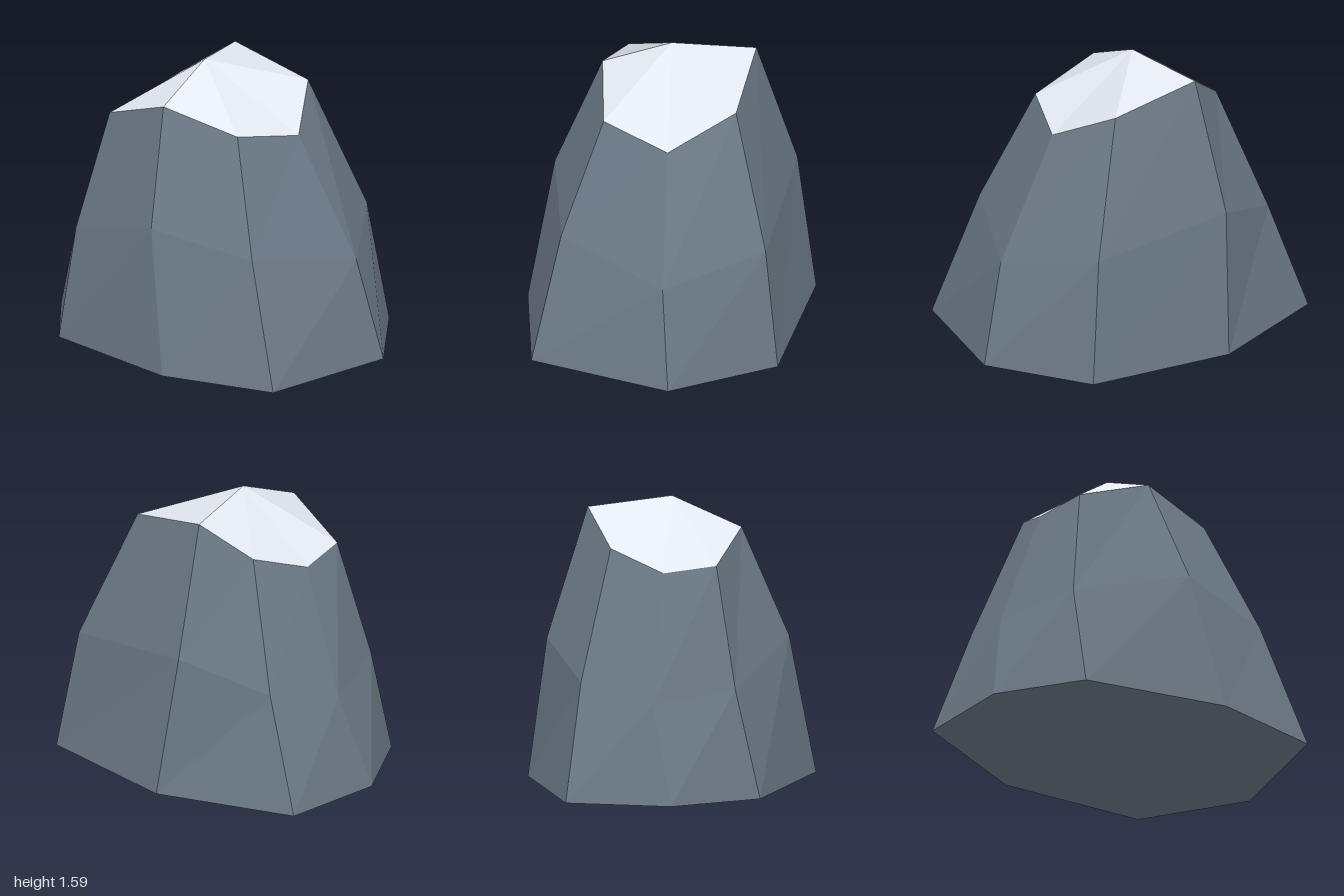
import * as THREE from 'three';

// Rings of [x, y, z] corners, clockwise seen from above, starting at +x
const BASE = [
  [1, 0, -0.06], [0.74, 0, 0.72], [0.07, 0, 0.79], [-0.74, 0, 0.53],
  [-1, 0, 0.05], [-0.93, 0, -0.54], [-0.15, 0, -0.8], [0.7, 0, -0.65],
];
const MIDDLE = [
  [0.85, 0.57, -0.02], [0.52, 0.69, 0.57], [-0.08, 0.8, 0.65], [-0.71, 0.61, 0.39],
  [-0.85, 0.54, -0.06], [-0.7, 0.64, -0.47], [-0.22, 0.8, -0.69], [0.6, 0.69, -0.575],
];
const SHOULDER = [
  [0.48, 1.24, -0.02], [0.3, 1.315, 0.35], [-0.15, 1.425, 0.39], [-0.56, 1.28, 0.275],
  [-0.59, 1.24, -0.02], [-0.45, 1.35, -0.32], [-0.18, 1.535, -0.465], [0.33, 1.425, -0.39],
];
const PEAK = [-0.11, 1.59, 0];

// Band of triangles between two rings
function band(low, high) {
  return low.flatMap((p, i) => {
    const j = (i + 1) % low.length;
    return [low[j], p, high[i], low[j], high[i], high[j]];
  });
}

// Fan of triangles from a ring to one point
function fan(ring, tip, down = false) {
  return ring.flatMap((p, i) => {
    const next = ring[(i + 1) % ring.length];
    return down ? [p, next, tip] : [next, p, tip];
  });
}

function facetedMesh(name, corners, color) {
  const geometry = new THREE.BufferGeometry();
  geometry.setAttribute('position', new THREE.Float32BufferAttribute(corners.flat(), 3));
  geometry.computeVertexNormals();
  const mesh = new THREE.Mesh(geometry, new THREE.MeshStandardMaterial({ color, flatShading: true }));
  mesh.name = name;
  return mesh;
}

export function createModel() {
  const group = new THREE.Group();
  group.name = 'snowCappedRock';

  // Rock body: closed underside and two tapering bands
  group.add(facetedMesh('rockBody', [
    ...fan(BASE, [0, 0, 0], true),
    ...band(BASE, MIDDLE),
    ...band(MIDDLE, SHOULDER),
  ], 0x6b7885));

  // Pale cap rising to an off-centre peak
  group.add(facetedMesh('snowCap', fan(SHOULDER, PEAK), 0xe2e8f0));

  return group;
}
